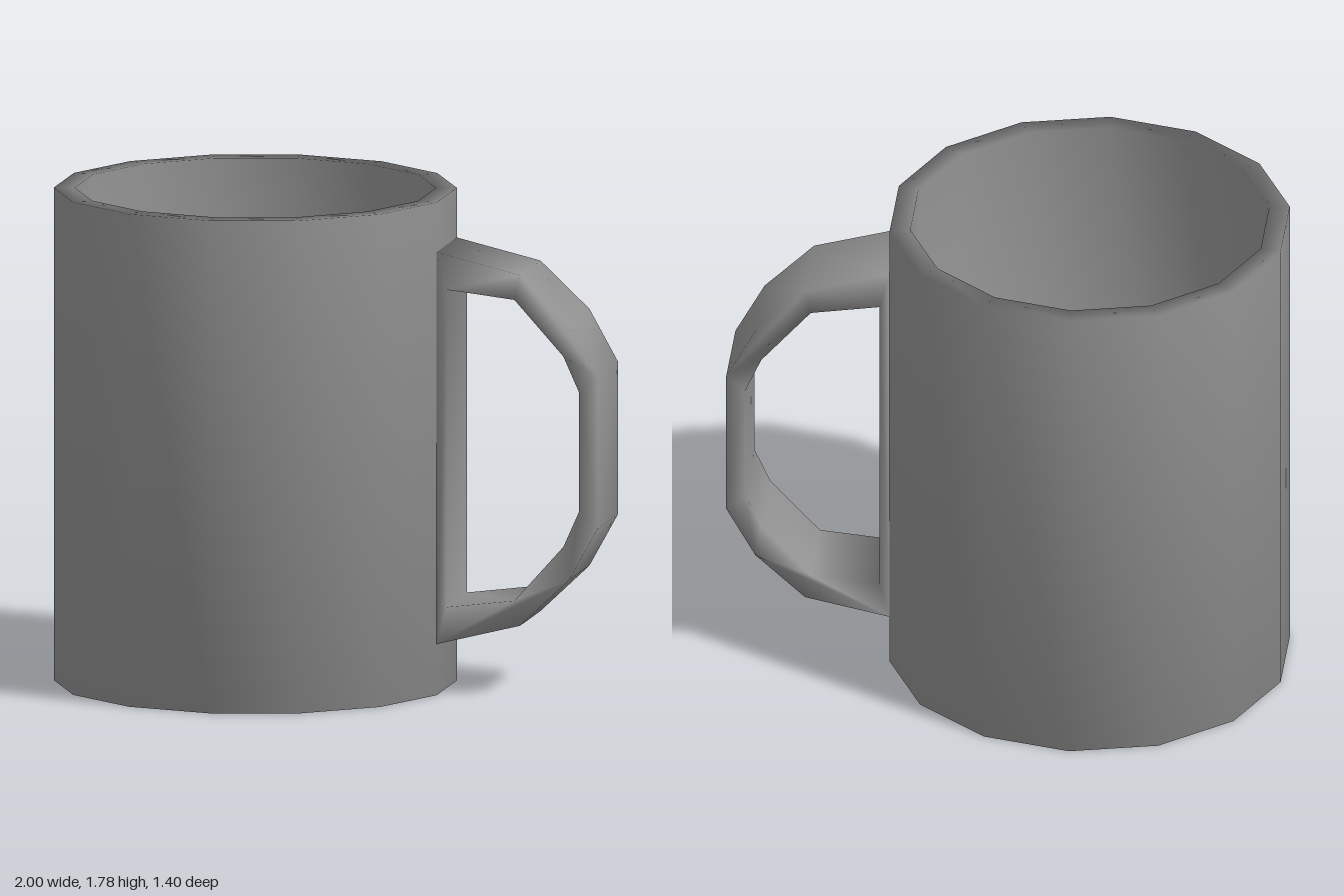
import * as THREE from 'three';
import { mergeVertices } from 'three/addons/utils/BufferGeometryUtils.js';

const SIDES = 14, RADIUS = 0.72, INNER = 0.645, HEIGHT = 1.785, FLOOR = 0.1;
const MID = 0.895; // the handle mirrors about this height

// Closed outline from its upper half: listed points, then their mirror images
function mirrored(half) {
  const lower = half.map(([x, y]) => [x, 2 * MID - y]).reverse();
  return [...half, ...lower].map(([x, y]) => new THREE.Vector2(x, y));
}

// Weld all corners so that the shading runs smoothly over every edge
function smooth(geometry) {
  geometry.deleteAttribute('uv');
  geometry.deleteAttribute('normal');
  const welded = mergeVertices(geometry);
  welded.computeVertexNormals();
  return welded;
}

export function createModel() {
  const group = new THREE.Group();
  const material = new THREE.MeshStandardMaterial({ color: 0x919191, side: THREE.DoubleSide });

  // Cup: base, outer wall, flat rim, inner wall and floor in one profile
  const profile = [
    [0, 0], [RADIUS, 0], [RADIUS, HEIGHT], [INNER, HEIGHT], [INNER, FLOOR], [0, FLOOR],
  ].map(([r, y]) => new THREE.Vector2(r, y));
  const cup = new THREE.Mesh(smooth(new THREE.LatheGeometry(profile, SIDES, Math.PI / 2)), material);
  cup.name = 'cup';
  cup.position.x = -0.28;
  group.add(cup);

  // Handle: D-shaped band with a hole, grown out of one wall panel
  const shape = new THREE.Shape(mirrored([[0.44, 1.605], [0.73, 1.53], [0.9, 1.36], [1, 1.17]]));
  shape.holes.push(new THREE.Path(
    mirrored([[0.475, 1.47], [0.71, 1.44], [0.88, 1.24], [0.935, 1.11]]).reverse()));
  const band = new THREE.ExtrudeGeometry(shape, { depth: 1, bevelEnabled: false });

  // Shear the band so its width follows the panel and it sweeps slightly backwards
  const step = (2 * Math.PI) / SIDES;
  const dx = RADIUS * (1 - Math.cos(step)), dz = RADIUS * Math.sin(step), sweep = 0.296;
  band.applyMatrix4(new THREE.Matrix4().set(
    1, 0, dx, -dx,
    0, 1, 0, 0,
    -sweep, 0, dz, sweep * 0.44 - dz,
    0, 0, 0, 1));
  const handle = new THREE.Mesh(smooth(band), material);
  handle.name = 'handle';
  group.add(handle);

  return group;
}
